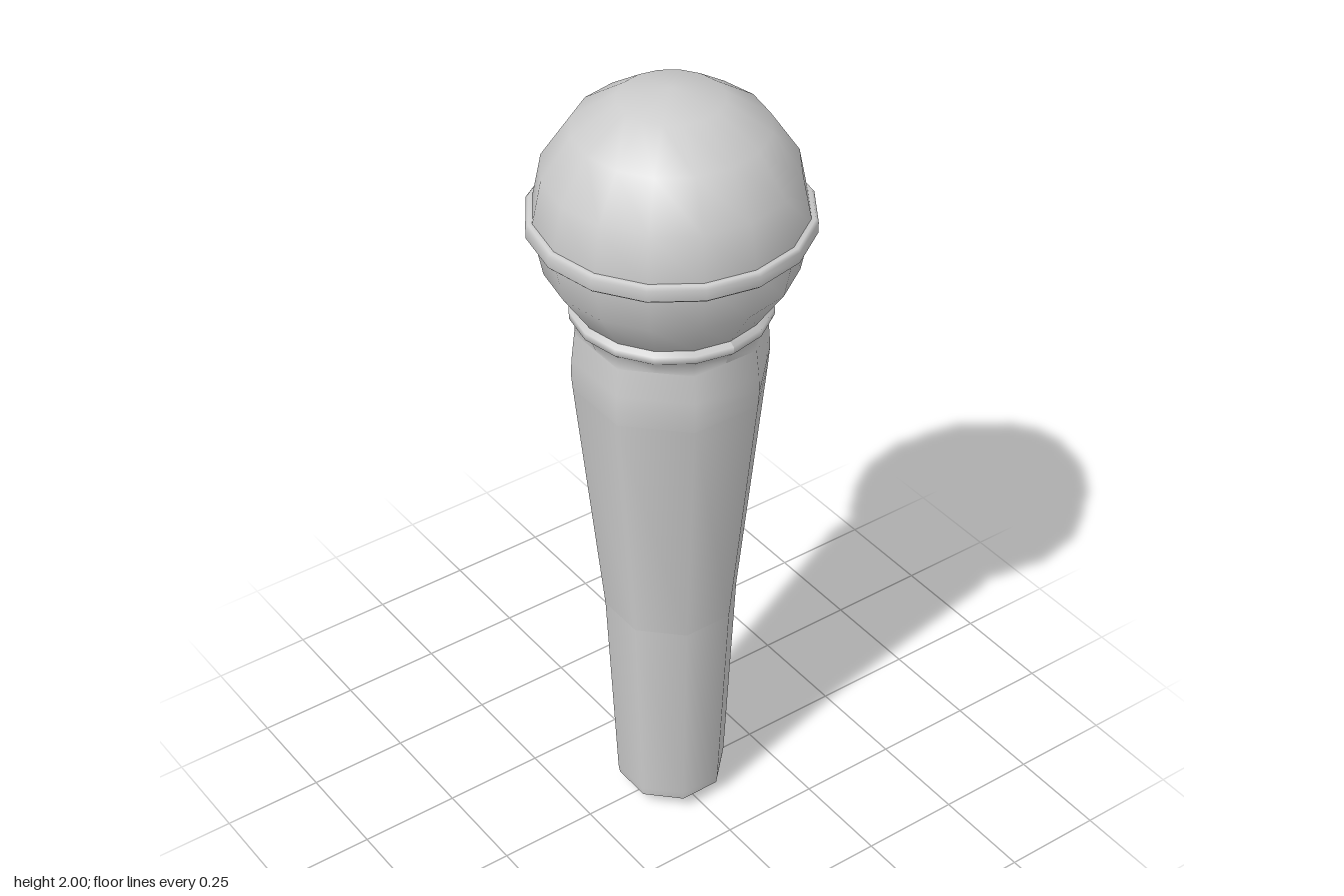
import * as THREE from 'three';

const EIGHTH = Math.PI / 4;
const COS = Math.cos(EIGHTH / 2);

// The slotted stretch of the handle tapers in a straight line
const Y0 = 0.6, Y1 = 1.25, A0 = 0.15, A1 = 0.212;
const SLOPE = (A1 - A0) / (Y1 - Y0);
const apothem = (y) => A0 + (y - Y0) * SLOPE;

export function createModel() {
  const group = new THREE.Group();
  const material = new THREE.MeshStandardMaterial({ color: 0xcccccc });

  const add = (name, geometry, y = 0) => {
    const mesh = new THREE.Mesh(geometry, material);
    mesh.name = name;
    mesh.position.y = y;
    group.add(mesh);
    return mesh;
  };
  const points = (list, k = 1) => list.map(([r, y]) => new THREE.Vector2(r * k, y));
  const round = (list) => new THREE.LatheGeometry(points(list), 16);
  // Eight sides with flats facing the axes; sizes are half-widths across the flats
  const octagon = (list, sides = 8) =>
    new THREE.LatheGeometry(points(list, 1 / COS), sides, Math.PI + EIGHTH / 2, sides * EIGHTH);
  // Lean a shape drawn in x, y, depth onto the tapered back of the handle
  const lean = (geometry) => {
    const p = geometry.attributes.position;
    for (let i = 0; i < p.count; i++) p.setZ(i, p.getZ(i) - apothem(p.getY(i)));
    geometry.computeVertexNormals();
    return geometry;
  };
  const rect = (Type, w, y0, y1, w1 = w) => new Type(
    [[-w, y0], [w, y0], [w1, y1], [-w1, y1]].map(([x, y]) => new THREE.Vector2(x, y)));

  // Head: dome, cup and the band between them
  add('grilleDome', new THREE.SphereGeometry(0.312, 16, 4, 0, Math.PI * 2, 0, Math.PI / 2), 1.688);
  add('grilleCup', new THREE.SphereGeometry(0.312, 16, 4, 0, Math.PI * 2, Math.PI / 2, Math.PI / 2), 1.688);
  add('grilleBand', round([[0.305, 1.662], [0.319, 1.662], [0.325, 1.668], [0.325, 1.694],
    [0.319, 1.702], [0.305, 1.702]]));

  // Collar: round above, its lowest ring pushed out to meet the octagon
  const collar = round([[0.206, 1.4], [0.215, 1.425], [0.234, 1.442], [0.234, 1.46], [0.21, 1.474]]);
  const cp = collar.attributes.position;
  for (let i = 0; i < cp.count; i++) {
    const column = Math.floor(i / 5), row = i % 5;
    if (row === 0 && column % 2) {
      cp.setX(i, cp.getX(i) / COS);
      cp.setZ(i, cp.getZ(i) / COS);
    }
  }
  collar.computeVertexNormals();
  add('collar', collar);

  // Handle: the middle stretch leaves its back side open for the slotted panel
  add('handleTop', octagon([[A1, Y1], [0.215, 1.29], [0.213, 1.33], [0.206, 1.4]]));
  add('handleMiddle', octagon([[A0, Y0], [A1, Y1]], 7));
  add('handleBottom', octagon([[0.123, 0.037], [0.126, 0.06], [A0, Y0]]));
  add('handleEnd', octagon([[0.065, 0.02], [0.123, 0.037]]));
  add('endPlug', octagon([[0, 0], [0.062, 0], [0.065, 0.005], [0.065, 0.02]]));

  // Back panel with its slot cut through
  const tan = Math.tan(EIGHTH / 2);
  const panelShape = rect(THREE.Shape, A0 * tan, Y0, Y1, A1 * tan);
  panelShape.holes.push(rect(THREE.Path, 0.057, 0.64, 1.13));
  const panel = lean(new THREE.ExtrudeGeometry(panelShape, { depth: 0.018, bevelEnabled: false }));
  // Soften the outer face so that it shades on from the neighbouring sides
  const pp = panel.attributes.position, pn = panel.attributes.normal;
  const n = new THREE.Vector3();
  for (let i = 0; i < pp.count; i++) {
    if (pn.getZ(i) > -0.9) continue;
    n.set(pp.getX(i), 0, pp.getZ(i)).normalize().setY(-SLOPE).normalize();
    pn.setXYZ(i, n.x, n.y, n.z);
  }
  add('backPanel', panel);

  // Slot floor and sliding switch
  const floor = new THREE.ExtrudeGeometry(rect(THREE.Shape, 0.06, 0.635, 1.135),
    { depth: 0.01, bevelEnabled: false });
  add('slotFloor', lean(floor.translate(0, 0, 0.014)));
  const slider = new THREE.ExtrudeGeometry(rect(THREE.Shape, 0.04, 0.885, 1.09),
    { depth: 0.02, bevelSize: 0.006, bevelThickness: 0.006, bevelSegments: 1 });
  add('switch', lean(slider.translate(0, 0, 0.003)));

  return group;
}
